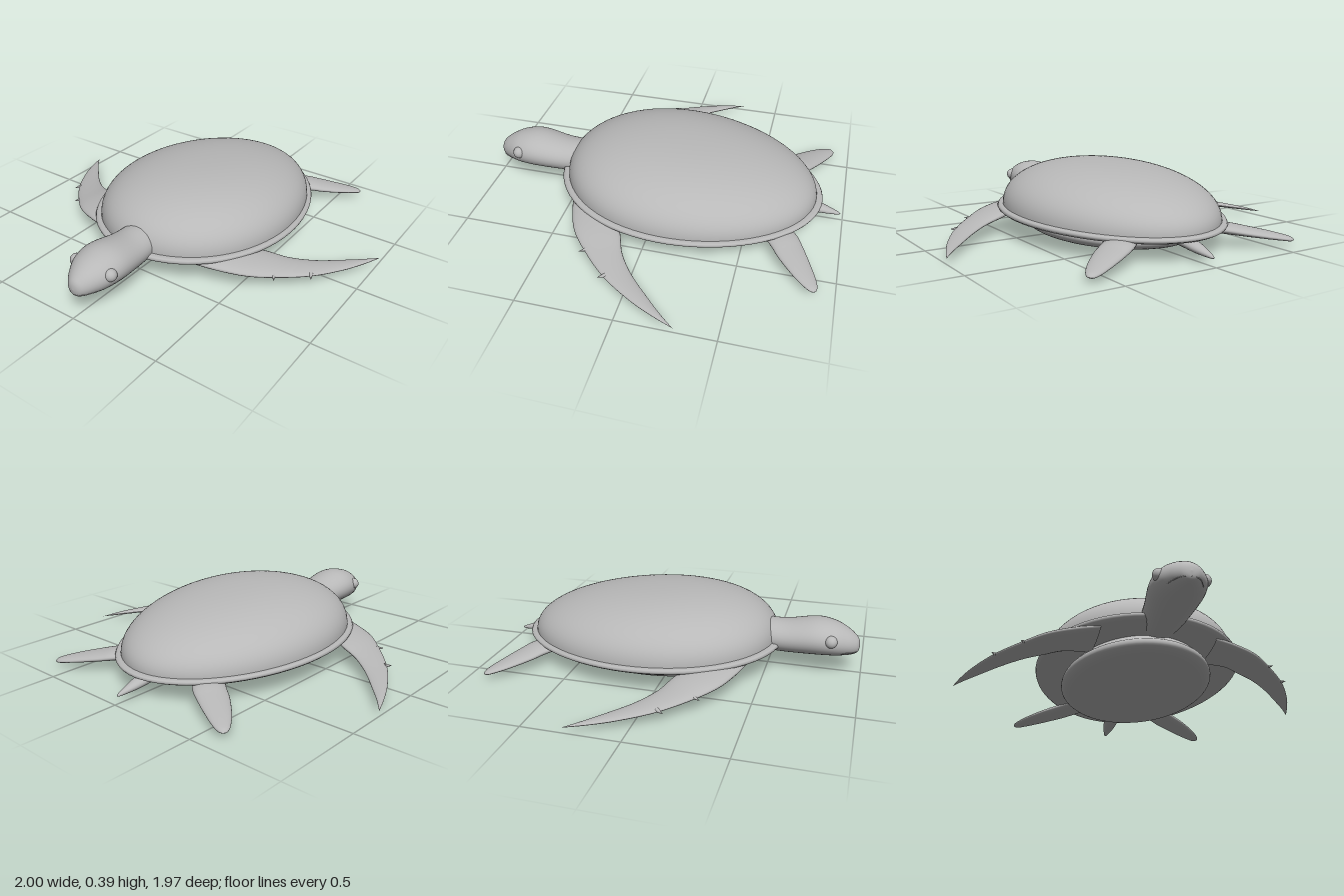
import * as THREE from 'three';

const grey = new THREE.MeshStandardMaterial({ color: 0xb8b8b8 });
grey.name = 'plain grey';

// Catmull-Rom resampling of rows of numbers
function smoothRows(rows, steps) {
  const out = [], last = rows.length - 1;
  const row = (i) => rows[Math.min(Math.max(i, 0), last)];
  for (let k = 0; k <= last * steps; k++) {
    const i = Math.min(Math.floor(k / steps), last - 1), t = k / steps - i;
    out.push(row(i).map((p1, c) => {
      const p0 = row(i - 1)[c], p2 = row(i + 1)[c], p3 = row(i + 2)[c];
      return p1 + 0.5 * t * (p2 - p0 + t * (2 * p0 - 5 * p1 + 4 * p2 - p3 + t * (3 * (p1 - p2) + p3 - p0)));
    }));
  }
  return out;
}

// Skin through closed rings; point(row, cos, sin) gives [x, y, z]
function loft(rows, point, sides = 32) {
  const pos = [], index = [];
  rows.forEach((r, i) => {
    for (let j = 0; j < sides; j++) {
      const a = (j / sides) * Math.PI * 2;
      pos.push(...point(r, Math.cos(a), Math.sin(a)));
      if (i === rows.length - 1) continue;
      const p = i * sides + j, q = i * sides + (j + 1) % sides;
      index.push(p, q, q + sides, p, q + sides, p + sides);
    }
  });
  const g = new THREE.BufferGeometry();
  g.setAttribute('position', new THREE.Float32BufferAttribute(pos, 3));
  g.setIndex(index);
  g.computeVertexNormals();
  return g;
}

// Egg-shaped shell outline, tilted down and flattened toward the rear
function shellPoint([r, h], c, s) {
  const t = r * c;
  return [0.56 * r * s * (1 + 0.08 * t), 0.13 + 0.02 * t + h * (1 + 0.12 * t), -0.15 + 0.73 * t];
}

// Flat limb between a leading and a trailing edge: [xLead, zLead, xTrail, zTrail, y, halfThickness]
function flipper(rows, side) {
  return loft(smoothRows(rows, 6), ([xl, zl, xt, zt, y, h], c, s) => [
    side * ((xl + xt) / 2 + c * (xl - xt) / 2),
    y - side * s * h,
    (zl + zt) / 2 + c * (zl - zt) / 2,
  ], 24);
}

export function createModel() {
  const model = new THREE.Group();
  const add = (name, geometry) => {
    const mesh = new THREE.Mesh(geometry, grey);
    mesh.name = name;
    model.add(mesh);
    return mesh;
  };

  // Domed upper shell
  const dome = [];
  for (let i = 0; i <= 28; i++) {
    const a = (i / 28) * Math.PI / 2;
    dome.push([0.955 * Math.pow(Math.max(Math.cos(a), 0), 0.87), 0.257 * Math.pow(Math.sin(a), 0.87)]);
  }
  add('upperShell', loft(dome, shellPoint, 72));

  // Rounded lip around the shell, with its underside
  const rim = [[0, -0.02], [0.6, -0.02], [0.9, -0.022], [0.97, -0.018], [0.994, -0.008],
    [1, 0.001], [0.993, 0.01], [0.975, 0.014], [0.93, 0.014]];
  add('shellRim', loft(rim, shellPoint, 72));

  // Flat-bottomed belly plate
  const belly = smoothRows([[0, 0.003], [0.6, 0.004], [0.8, 0.01], [0.92, 0.024], [0.985, 0.045],
    [1, 0.064], [0.985, 0.083], [0.94, 0.097], [0.9, 0.125]], 3);
  add('bellyPlate', loft(belly, ([r, y], c, s) => [0.41 * r * s, y, -0.12 + 0.58 * r * c], 64));

  // Head and neck: [z, centre y, half width, half height]
  const head = smoothRows([[0.4, 0.185, 0.1, 0.075], [0.5, 0.18, 0.11, 0.085], [0.6, 0.18, 0.12, 0.088],
    [0.75, 0.195, 0.136, 0.098], [0.85, 0.19, 0.121, 0.09], [0.92, 0.177, 0.085, 0.071],
    [0.962, 0.166, 0.052, 0.05], [0.979, 0.162, 0.028, 0.03], [0.985, 0.161, 0, 0]], 6);
  add('headAndNeck', loft(head, ([z, y, w, h], c, s) => [w * c, y + h * s, z], 40));

  // Mouth line
  const mouth = [[-0.098, 0.14, 0.85], [-0.071, 0.137, 0.92], [-0.043, 0.136, 0.963], [0, 0.135, 0.979],
    [0.043, 0.136, 0.963], [0.071, 0.137, 0.92], [0.098, 0.14, 0.85]];
  const mouthPath = new THREE.CatmullRomCurve3(mouth.map((p) => new THREE.Vector3(...p)));
  add('mouthLine', new THREE.TubeGeometry(mouthPath, 40, 0.002, 6));

  // Tail
  const tail = smoothRows([[-0.68, 0.095, 0.045, 0.03], [-0.8, 0.08, 0.042, 0.028], [-0.87, 0.067, 0.034, 0.024],
    [-0.94, 0.053, 0.018, 0.014], [-0.975, 0.046, 0.008, 0.007], [-0.985, 0.044, 0, 0]], 5);
  add('tail', loft(tail, ([z, y, w, h], c, s) => [w * c, y - h * s, z], 24));

  const front = [
    [0.3, 0.44, 0.3, 0.13, 0.125, 0.028], [0.41, 0.41, 0.44, 0.14, 0.117, 0.03],
    [0.55, 0.35, 0.54, 0.1, 0.102, 0.027], [0.67, 0.25, 0.64, 0.06, 0.083, 0.021],
    [0.8, 0.11, 0.75, -0.02, 0.064, 0.016], [0.9, -0.05, 0.86, -0.13, 0.049, 0.012],
    [0.96, -0.18, 0.94, -0.215, 0.039, 0.008], [1, -0.29, 1, -0.29, 0.03, 0]];
  const rear = [
    [0.25, -0.52, 0.15, -0.64, 0.105, 0.02], [0.38, -0.64, 0.28, -0.765, 0.09, 0.027],
    [0.46, -0.7, 0.36, -0.815, 0.075, 0.024], [0.55, -0.785, 0.46, -0.865, 0.056, 0.019],
    [0.602, -0.85, 0.54, -0.9, 0.042, 0.014], [0.616, -0.883, 0.58, -0.91, 0.035, 0.01],
    [0.61, -0.905, 0.605, -0.908, 0.032, 0]];

  for (const side of [1, -1]) {
    const label = side > 0 ? 'left' : 'right';
    add(label + 'FrontFlipper', flipper(front, side));
    add(label + 'RearFlipper', flipper(rear, side));

    // Eye and nostril
    add(label + 'Eye', new THREE.SphereGeometry(0.033, 24, 16)).position.set(side * 0.109, 0.208, 0.838);
    add(label + 'Nostril', new THREE.SphereGeometry(0.005, 10, 8)).position.set(side * 0.02, 0.187, 0.972);

    // Two small claws on the leading edge
    for (const [x, y, z] of [[0.665, 0.084, 0.262], [0.8, 0.065, 0.122]]) {
      const claw = add(label + 'Claw', new THREE.ConeGeometry(0.012, 0.045, 10));
      claw.position.set(side * x, y, z);
      claw.quaternion.setFromUnitVectors(new THREE.Vector3(0, 1, 0),
        new THREE.Vector3(side * 0.5, -0.1, 0.85).normalize());
    }
  }
  return model;
}
